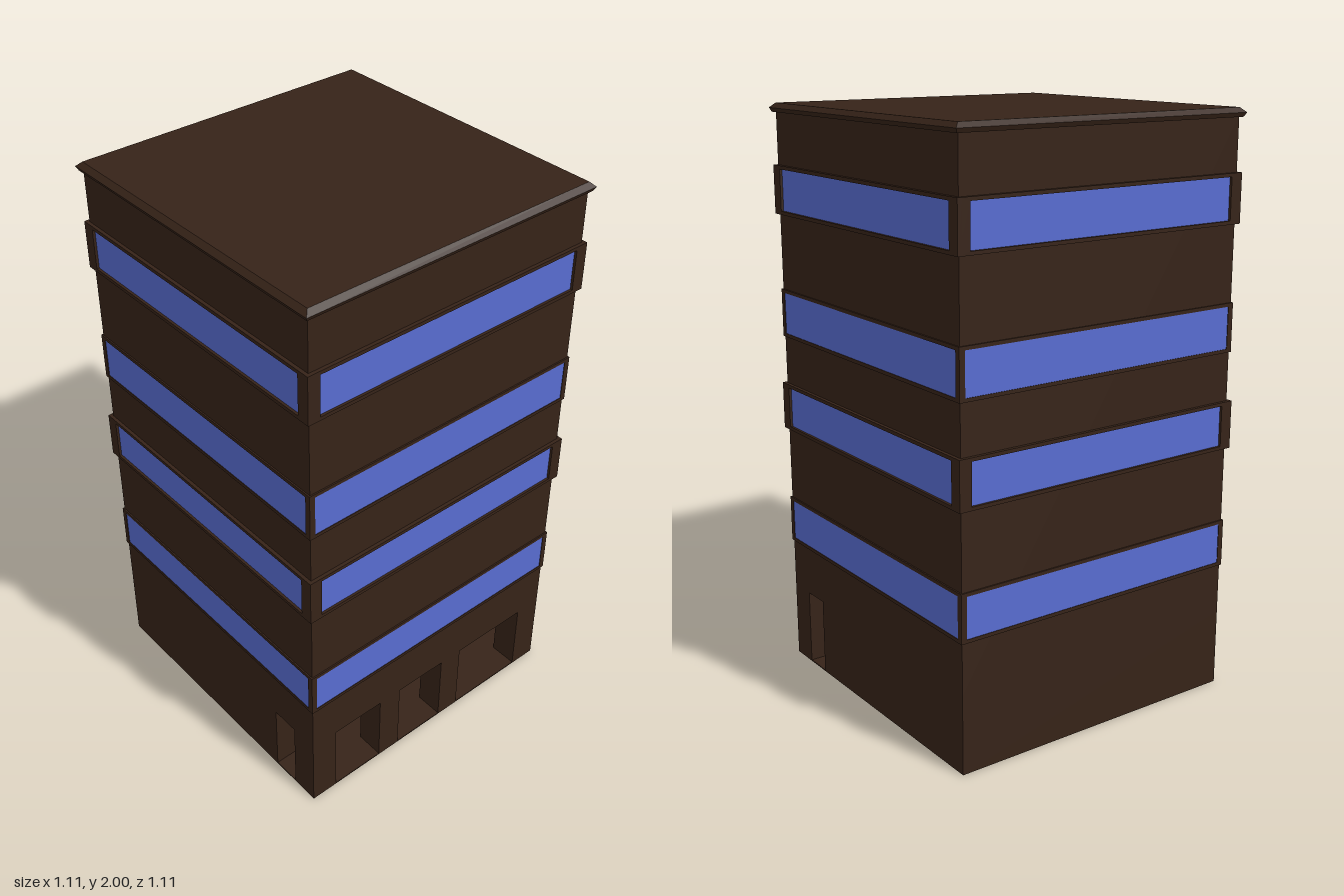
import * as THREE from 'three';

const brown = new THREE.MeshStandardMaterial({ color: 0x362318 });
const blue = new THREE.MeshStandardMaterial({ color: 0x586cd0 });

const HALF = 0.54;      // half width of the tower
const GROUND = 0.27;    // ceiling height of the lobby
const LOBBY = 0.26;     // z of the lobby's back wall

function add(parent, name, geometry, material = brown) {
  const mesh = new THREE.Mesh(geometry, material);
  mesh.name = name;
  parent.add(mesh);
  return mesh;
}

// Box given by its limits on each axis
function block(parent, name, [x0, x1], [y0, y1], [z0, z1], material) {
  const mesh = add(parent, name, new THREE.BoxGeometry(x1 - x0, y1 - y0, z1 - z0), material);
  mesh.position.set((x0 + x1) / 2, (y0 + y1) / 2, (z0 + z1) / 2);
  return mesh;
}

// Full-width wall with a doorway that reaches the floor
function doorWall(parent, name, [x0, x1], height, [z0, z1]) {
  const shape = new THREE.Shape([
    [-HALF, 0], [x0, 0], [x0, height], [x1, height], [x1, 0],
    [HALF, 0], [HALF, GROUND], [-HALF, GROUND],
  ].map(([x, y]) => new THREE.Vector2(x, y)));
  const geometry = new THREE.ExtrudeGeometry(shape, { depth: z1 - z0, bevelEnabled: false });
  add(parent, name, geometry).position.z = z0;
}

// Square slab whose sides slope from one half width to another
function taper(parent, name, bottom, top, y0, y1) {
  const geometry = new THREE.CylinderGeometry(top * Math.SQRT2, bottom * Math.SQRT2, y1 - y0, 4)
    .rotateY(Math.PI / 4).toNonIndexed();
  geometry.computeVertexNormals();
  add(parent, name, geometry).position.y = (y0 + y1) / 2;
}

// Frame and glass on all four sides at one storey
function windowBand({ y0, y1, out, glass }) {
  const band = new THREE.Group();
  band.name = 'windowBand';
  const rail = 0.012;
  const shape = new THREE.Shape();
  shape.moveTo(-out, y0).lineTo(out, y0).lineTo(out, y1).lineTo(-out, y1).closePath();
  const hole = new THREE.Path();
  hole.moveTo(-glass, y0 + rail).lineTo(-glass, y1 - rail)
    .lineTo(glass, y1 - rail).lineTo(glass, y0 + rail).closePath();
  shape.holes.push(hole);
  const frame = new THREE.ExtrudeGeometry(shape, { depth: out - HALF + 0.005, bevelEnabled: false });
  for (let i = 0; i < 4; i++) {
    const side = new THREE.Group();
    side.name = 'windowSide';
    side.rotation.y = i * Math.PI / 2;
    add(side, 'windowFrame', frame).position.z = HALF - 0.005;
    block(side, 'windowGlass', [-glass, glass], [y0 + rail, y1 - rail], [HALF - 0.01, HALF + 0.003], blue);
    band.add(side);
  }
  return band;
}

export function createModel() {
  const model = new THREE.Group();
  model.name = 'tower';

  // Upper storeys
  block(model, 'upperStoreys', [-HALF, HALF], [GROUND, 1.975], [-HALF, HALF]);

  // Ground floor: open lobby behind front pillars, with a passage to each side
  const ground = new THREE.Group();
  ground.name = 'groundFloor';
  model.add(ground);
  block(ground, 'floor', [-HALF, HALF], [0, 0.004], [-HALF, HALF]);
  for (const span of [[-HALF, -0.44], [-0.24, -0.15], [0.05, 0.14], [0.44, HALF]])
    block(ground, 'frontPillar', span, [0, GROUND], [0.44, HALF]);
  for (const span of [[-HALF, -0.44], [0.44, HALF]])
    block(ground, 'lobbySideWall', span, [0, GROUND], [LOBBY, 0.34]);

  // Stepped doorway sunk into the lobby's back wall
  doorWall(ground, 'doorSurround', [0.2, 0.36], 0.18, [0.16, LOBBY]);
  doorWall(ground, 'innerDoorSurround', [0.23, 0.33], 0.13, [0.1, 0.16]);
  block(ground, 'groundCore', [-HALF, HALF], [0, GROUND], [-HALF, 0.1]);

  // Window bands, alternating between two frame sizes
  const bands = [
    { y0: 0.445, y1: 0.61, out: 0.545, glass: 0.525 },
    { y0: 0.87, y1: 1.035, out: 0.552, glass: 0.508 },
    { y0: 1.203, y1: 1.37, out: 0.545, glass: 0.525 },
    { y0: 1.63, y1: 1.795, out: 0.552, glass: 0.508 },
  ];
  for (const band of bands) model.add(windowBand(band));

  // Roof cornice
  taper(model, 'corniceLower', 0.55, 0.557, 1.97, 1.984);
  taper(model, 'corniceUpper', 0.557, 0.54, 1.984, 2);

  return model;
}
